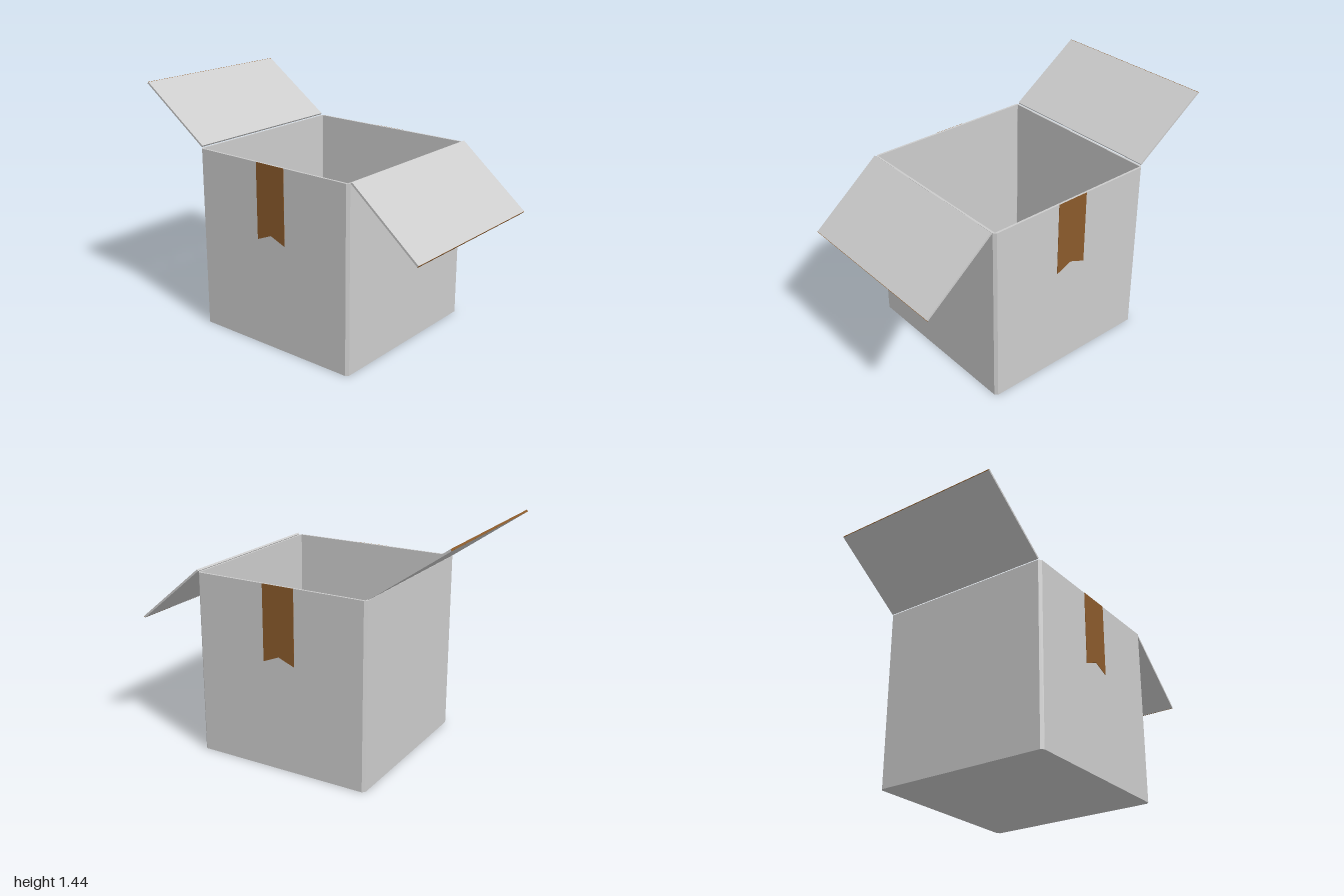
import * as THREE from 'three';

const CARD = new THREE.MeshStandardMaterial({ color: 0xcccccc, flatShading: true });
const TAPE = new THREE.MeshStandardMaterial({ color: 0x8a5a2b, flatShading: true });

const CX = 0.008, HALF = 0.553, HEIGHT = 1.11, WALL = 0.013, CHAMFER = 0.016;

function add(parent, name, geometry, material = CARD) {
  const mesh = new THREE.Mesh(geometry, material);
  mesh.name = name;
  parent.add(mesh);
  return mesh;
}

// Square outline with cut corners
function outline(Type, h, c) {
  return new Type([
    [h, c - h], [h, h - c], [h - c, h], [c - h, h],
    [-h, h - c], [-h, c - h], [c - h, -h], [h - c, -h],
  ].map(([x, y]) => new THREE.Vector2(x, y)));
}

// Flap from its hinge to its tip (x, y), with a brown end edge
function makeFlap(name, hinge, tip) {
  const thick = 0.012, depth = 1.078;
  const dx = tip[0] - hinge[0], dy = tip[1] - hinge[1];
  const length = Math.hypot(dx, dy);
  const flap = new THREE.Group();
  flap.name = name;
  flap.position.set(hinge[0], hinge[1], 0);
  flap.rotation.z = Math.atan2(dy, dx);
  add(flap, name + 'Panel', new THREE.BoxGeometry(length, thick, depth)).position.x = length / 2;
  add(flap, name + 'Edge', new THREE.BoxGeometry(0.002, thick, depth), TAPE).position.x = length + 0.001;
  return flap;
}

export function createModel() {
  const model = new THREE.Group();
  model.name = 'openCardboardBox';

  // Four walls as one hollow tube
  const shape = outline(THREE.Shape, HALF, CHAMFER);
  shape.holes.push(outline(THREE.Path, HALF - WALL, 0.002));
  const walls = new THREE.ExtrudeGeometry(shape, { depth: HEIGHT, bevelEnabled: false });
  walls.rotateX(-Math.PI / 2);
  add(model, 'walls', walls).position.x = CX;

  // Floor
  const floor = new THREE.ExtrudeGeometry(outline(THREE.Shape, HALF - 0.001, CHAMFER),
    { depth: WALL, bevelEnabled: false });
  floor.rotateX(-Math.PI / 2);
  add(model, 'floor', floor).position.x = CX;

  // Side flaps, one raised and one hanging
  model.add(makeFlap('rightFlap', [-0.543, 1.118], [-0.995, 1.436]));
  model.add(makeFlap('leftFlap', [0.568, 1.116], [0.994, 0.764]));

  // Notched tape strips on the front and back
  const strip = new THREE.Shape([[-0.102, 1.11], [-0.102, 0.653], [0, 0.695], [0.102, 0.655], [0.102, 1.11]]
    .map(([x, y]) => new THREE.Vector2(x, y)));
  for (const side of [1, -1]) {
    const tape = add(model, side > 0 ? 'frontTape' : 'backTape',
      new THREE.ExtrudeGeometry(strip, { depth: 0.002, bevelEnabled: false }), TAPE);
    tape.position.set(CX, 0, side * HALF);
    if (side < 0) tape.rotation.y = Math.PI;
  }
  return model;
}
